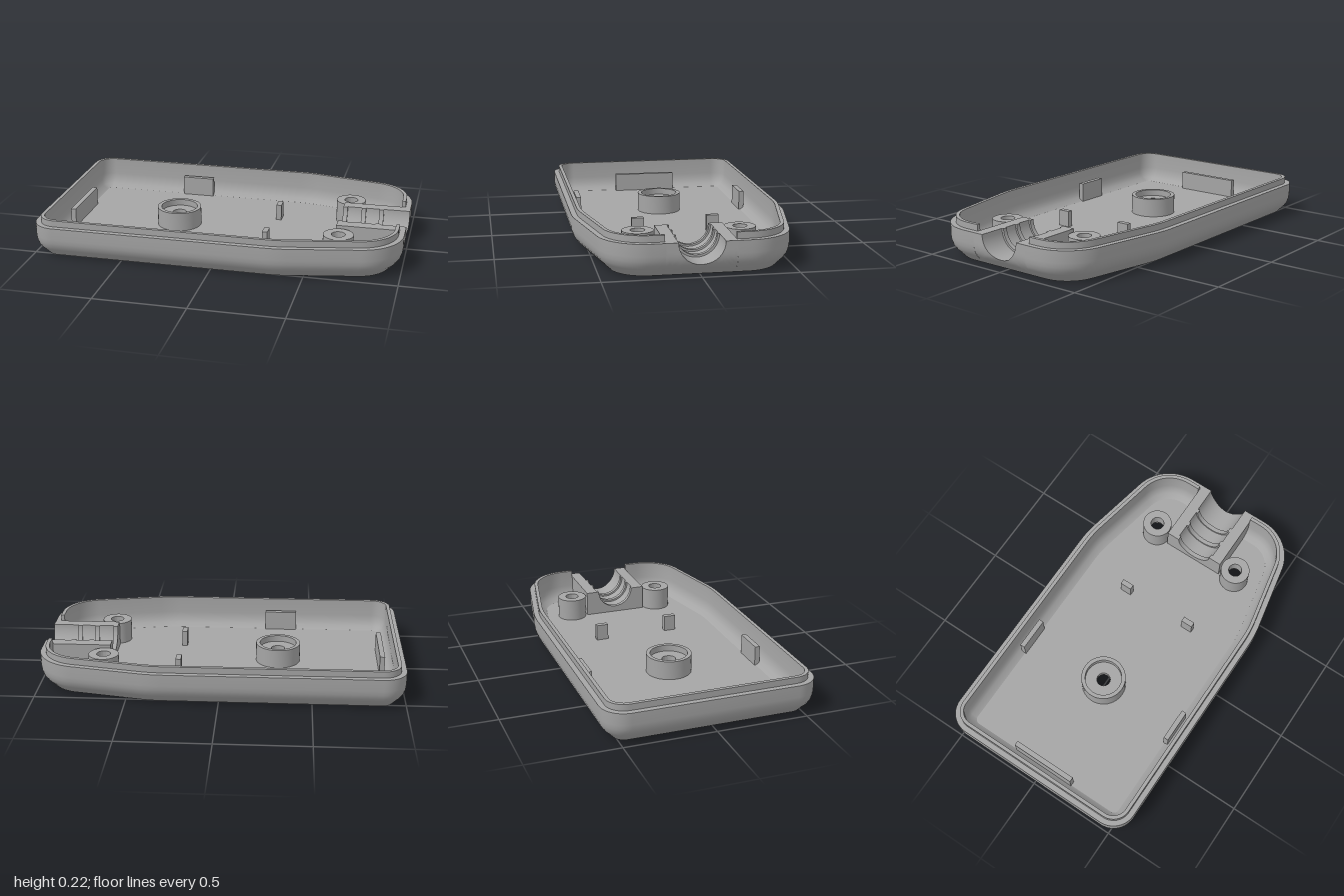
import * as THREE from 'three';
import { toCreasedNormals } from 'three/addons/utils/BufferGeometryUtils.js';

const GAP = 0.18;   // half width of the cable block
const SEAM = 0.18;  // height of the parting edge
const FLOOR = 0.04;

// wall section as [inset, y]: up the outside, over the lip, down the inside
const OUTER = [[0.07, 0], [0.025, 0.045], [0.011, 0.065], [0.003, 0.09], [0, 0.115], [0, SEAM]];
const INNER = [[0.03, SEAM], [0.03, 0.215], [0.05, 0.215], [0.05, 0.12], [0.055, 0.09], [0.07, 0.06], [0.1, FLOOR]];

// plan outline as [x, z, nx, nz], open at the cable gap
function outline() {
  const half = [[1, GAP, 1, 0]];
  const arc = (cx, cz, r, a0, a1, n) => {
    for (let i = 0; i <= n; i++) {
      const a = THREE.MathUtils.degToRad(a0 + (a1 - a0) * i / n);
      half.push([cx + r * Math.cos(a), cz + r * Math.sin(a), Math.cos(a), Math.sin(a)]);
    }
  };
  arc(0.75, 0.25, 0.25, 0, 80, 14);
  arc(0.3, -0.12, 0.7, 80, 90, 5);
  arc(-0.87, 0.45, 0.13, 90, 180, 10);
  return [...half, ...half.slice().reverse().map(([x, z, nx, nz]) => [x, -z, nx, -nz])];
}

// surface through a grid of points
function grid(nu, nv, point) {
  const pos = [], idx = [];
  for (let i = 0; i < nu; i++) for (let j = 0; j < nv; j++) pos.push(...point(i, j));
  for (let i = 0; i < nu - 1; i++) for (let j = 0; j < nv - 1; j++) {
    const a = i * nv + j, b = a + nv;
    idx.push(a, a + 1, b, b, a + 1, b + 1);
  }
  const g = new THREE.BufferGeometry();
  g.setAttribute('position', new THREE.Float32BufferAttribute(pos, 3));
  g.setIndex(idx);
  return toCreasedNormals(g, 0.6);
}

// x of the outer wall at height y on the cable end
function wallX(y) {
  for (let i = 1; i < OUTER.length; i++) {
    const [d0, y0] = OUTER[i - 1], [d1, y1] = OUTER[i];
    if (y <= y1) return 1 - d0 - (d1 - d0) * (y - y0) / (y1 - y0);
  }
  return 1;
}

export function createModel() {
  const group = new THREE.Group();
  const grey = new THREE.MeshStandardMaterial({ color: 0xa5a5a5 });
  grey.name = 'grey plastic';
  const add = (name, geo, x = 0, y = 0, z = 0) => {
    const m = new THREE.Mesh(geo, grey);
    m.name = name;
    m.position.set(x, y, z);
    group.add(m);
    return m;
  };
  const box = (name, w, h, d, x, y, z) => add(name, new THREE.BoxGeometry(w, h, d), x, y + h / 2, z);

  // side wall with stepped lip
  const line = outline(), section = [...OUTER, ...INNER];
  add('sideWall', grid(line.length, section.length, (i, j) => {
    const [x, z, nx, nz] = line[i], [d, y] = section[j];
    return [x - nx * d, y, z - nz * d];
  }));
  for (const s of [1, -1]) box('lipEnd', 0.02, 0.035, 0.01, 0.96, SEAM, s * (GAP + 0.005));

  // floor plate with three screw holes
  const holes = [[-0.31, 0], [0.65, 0.27], [0.65, -0.27]];
  const plate = new THREE.Shape(line.map(([x, z, nx, nz]) => new THREE.Vector2(x - nx * 0.07, -(z - nz * 0.07))));
  for (const [x, z] of holes) plate.holes.push(new THREE.Path().absarc(x, -z, 0.062, 0, Math.PI * 2, true));
  add('floor', new THREE.ExtrudeGeometry(plate, { depth: FLOOR, bevelEnabled: false, curveSegments: 32 }).rotateX(-Math.PI / 2));

  // screw bosses, counterbored from below
  const lathe = (pts) => toCreasedNormals(
    new THREE.LatheGeometry(pts.map(([r, y]) => new THREE.Vector2(r, y)), 40), 0.6);
  add('centreBoss', lathe([[0.125, FLOOR], [0.125, 0.145], [0.103, 0.145], [0.103, 0.11], [0.038, 0.11],
    [0.038, 0.08], [0.062, 0.08], [0.062, FLOOR]]), -0.31, 0, 0);
  for (const s of [1, -1]) {
    add('sideBoss', lathe([[0.083, FLOOR], [0.083, 0.165], [0.038, 0.165], [0.038, 0.1],
      [0.062, 0.1], [0.062, FLOOR]]), 0.65, 0, s * 0.27);
  }

  // locating tabs
  box('endTab', 0.028, 0.115, 0.37, -0.89, 0.03, 0);
  for (const s of [1, -1]) {
    box('sideTab', 0.185, 0.12, 0.028, -0.32, 0.03, s * 0.487);
    box('boardTab', 0.03, 0.1, 0.068, 0.24, 0.03, s * 0.21);
  }

  // cable block: half-round ribbed groove whose end follows the wall
  const X0 = 0.625;
  const groove = [[X0, 0.105], [0.65, 0.105], [0.65, 0.115], [0.73, 0.115], [0.73, 0.105], [0.755, 0.105],
    [0.755, 0.115], [0.83, 0.115], [0.83, 0.105], [0.855, 0.105], [0.855, 0.117]];
  const STEPS = 8, N = 2 + groove.length + STEPS + 1, SEG = 32;
  const blockPoint = (i, j) => {
    const t = Math.PI * i / SEG, c = Math.cos(t), s = Math.sin(t);
    const edge = GAP / Math.max(Math.abs(c), s);
    const at = (r, x) => {
      const y = Math.max(0, SEAM - r * s);
      return [x ?? wallX(y), y, r * c];
    };
    if (j === 0) return at(edge);
    if (j === 1) return at(edge, X0);
    if (j < 2 + groove.length) return at(groove[j - 2][1], groove[j - 2][0]);
    return at(0.118 + (edge - 0.118) * (j - 2 - groove.length) / STEPS);
  };
  add('cableBlock', grid(SEG + 1, N, blockPoint));
  for (const i of [0, SEG]) {
    const pts = [];
    for (let j = 1; j < N; j++) {
      const [x, , z] = blockPoint(i, j);
      pts.push(new THREE.Vector2(x, -z));
    }
    add('cableBlockTop', new THREE.ShapeGeometry(new THREE.Shape(pts)).rotateX(-Math.PI / 2), 0, SEAM, 0);
  }
  return group;
}
